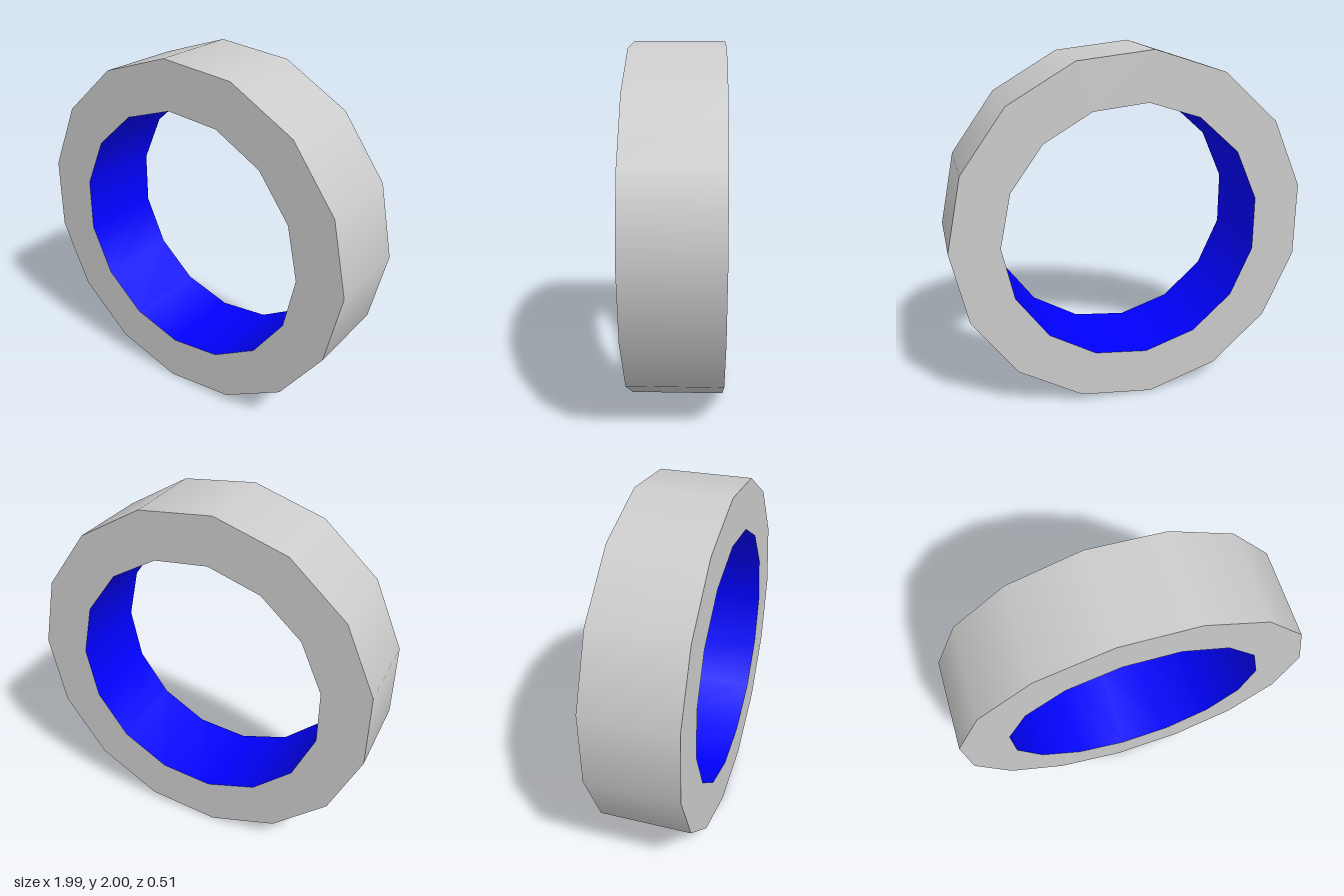
import * as THREE from 'three';

const SIDES = 15;
const OUTER = 1.0055;
const INNER = 0.733;
const HALF = 0.255; // half the width of the ring

// Smooth band around z; it faces outward, or inward when the profile is reversed
function band(radius, inward) {
  const h = inward ? -HALF : HALF;
  const profile = [new THREE.Vector2(radius, -h), new THREE.Vector2(radius, h)];
  return new THREE.LatheGeometry(profile, SIDES, Math.PI / 2).rotateX(Math.PI / 2);
}

// Flat ring closing one end
function cap(back) {
  const geometry = new THREE.RingGeometry(INNER, OUTER, SIDES).translate(0, 0, HALF);
  return back ? geometry.rotateX(Math.PI) : geometry;
}

export function createModel() {
  const group = new THREE.Group();
  group.name = 'ring';
  const grey = new THREE.MeshStandardMaterial({ color: 0xcccccc });
  const blue = new THREE.MeshStandardMaterial({ color: 0x0000ff });

  const add = (name, geometry, material) => {
    const mesh = new THREE.Mesh(geometry, material);
    mesh.name = name;
    // the odd side count puts the axis slightly off the middle
    mesh.position.set(-0.011, 1, 0);
    group.add(mesh);
  };

  add('outerWall', band(OUTER, false), grey);
  add('innerWall', band(INNER, true), blue);
  add('frontFace', cap(false), grey);
  add('backFace', cap(true), grey);
  return group;
}
